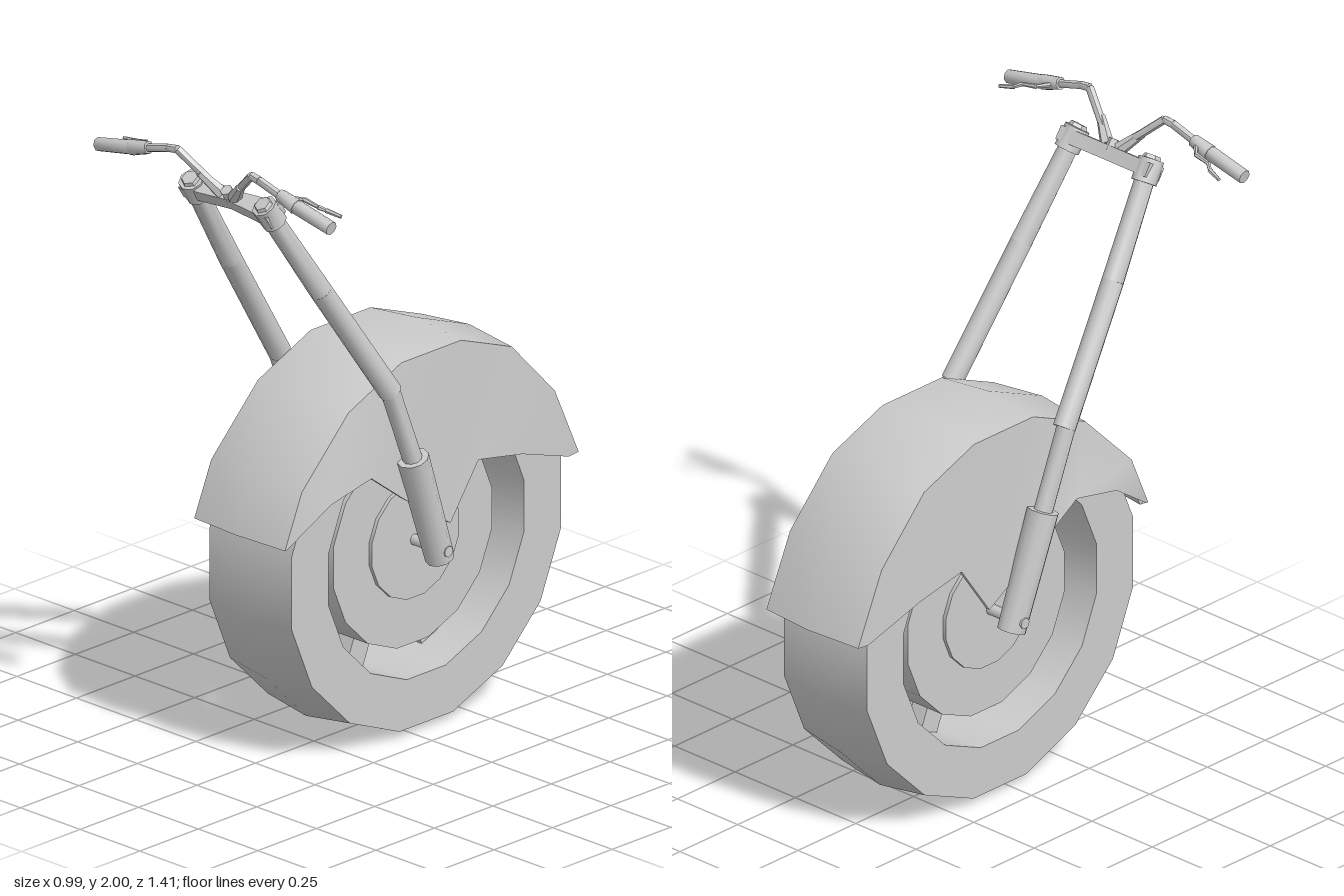
import * as THREE from 'three';
import { toCreasedNormals } from 'three/addons/utils/BufferGeometryUtils.js';

const V = (x, y, z) => new THREE.Vector3(x, y, z);
const HUB = V(0, 0.6, -0.055);

export function createModel() {
  const model = new THREE.Group();
  const mat = new THREE.MeshStandardMaterial({ color: 0xcccccc, side: THREE.DoubleSide });

  function add(geo, name, parent = model, crease = 0.6) {
    const mesh = new THREE.Mesh(toCreasedNormals(geo, crease), mat);
    mesh.name = name;
    parent.add(mesh);
    return mesh;
  }

  // Straight round bar from a to b
  function rod(a, b, ra, rb, sides, name, parent) {
    const dir = b.clone().sub(a);
    const mesh = add(new THREE.CylinderGeometry(rb, ra, dir.length(), sides), name, parent, 0.9);
    mesh.position.copy(a).add(b).multiplyScalar(0.5);
    mesh.quaternion.setFromUnitVectors(V(0, 1, 0), dir.normalize());
    return mesh;
  }

  // Wheel: everything turns about the x axis, flat of the 16-gon at the bottom
  const wheel = new THREE.Group();
  wheel.name = 'wheel';
  wheel.position.copy(HUB);
  model.add(wheel);
  function turned(profile, name) {
    const geo = new THREE.LatheGeometry(profile.map(p => new THREE.Vector2(...p)), 16, Math.PI / 16);
    geo.rotateZ(-Math.PI / 2);
    return add(geo, name, wheel);
  }
  turned([[0.426, -0.172], [0.588, -0.172], [0.612, 0], [0.588, 0.172], [0.426, 0.172], [0.426, -0.172]], 'tire');
  turned([[0, -0.115], [0.345, -0.115], [0.345, 0.115], [0, 0.115]], 'hubDrum');
  turned([[0, -0.127], [0.19, -0.127], [0.19, 0.127], [0, 0.127]], 'hubCap');
  for (let i = 0; i < 8; i++) {
    const a = (i + 0.5) * Math.PI / 4;
    const spoke = add(new THREE.BoxGeometry(0.06, 0.12, 0.075), 'spoke', wheel);
    spoke.position.set(0, 0.38 * Math.cos(a), 0.38 * Math.sin(a));
    spoke.rotation.x = a;
  }
  rod(V(-0.272, 0.6, -0.05), V(0.272, 0.6, -0.05), 0.018, 0.018, 8, 'axle');

  // Fender stations, front to back: crown z, y; lower edge z, y, half width
  const stations = [
    [0.587, 0.76, 0.56, 0.755, 0.19], [0.513, 0.934, 0.4, 0.865, 0.22],
    [0.307, 1.14, 0.228, 0.9, 0.22], [0.074, 1.24, 0.08, 0.79, 0.21],
    [-0.19, 1.24, -0.13, 0.65, 0.2], [-0.413, 1.155, -0.25, 0.82, 0.2],
    [-0.603, 0.955, -0.434, 0.786, 0.202], [-0.708, 0.722, -0.645, 0.715, 0.192],
  ];
  const pos = [], idx = [], N = 10;
  for (const [cz, cy, lz, ly, w] of stations) {
    const crown = V(0, cy, cz);
    const inward = HUB.clone().sub(crown).normalize();
    const shoulder = crown.clone().addScaledVector(inward, 0.02);
    const ring = (t) => {
      const c = crown.clone().addScaledVector(inward, t);
      const s = shoulder.clone().addScaledVector(inward, t);
      const sx = 0.19 - t * 0.6, lx = w - t * 0.6;
      return [[-lx, ly, lz], [-sx, s.y, s.z], [0, c.y, c.z], [sx, s.y, s.z], [lx, ly, lz]];
    };
    pos.push(...ring(0).flat(), ...ring(0.022).reverse().flat());
  }
  for (let i = 0; i < stations.length - 1; i++) {
    for (let j = 0; j < N; j++) {
      const a = i * N + j, b = i * N + (j + 1) % N;
      idx.push(a, a + N, b, b, a + N, b + N);
    }
  }
  // Close the rims at both ends
  for (let j = 0; j < 4; j++) {
    const e = (stations.length - 1) * N;
    idx.push(j, j + 1, 9 - j, j + 1, 8 - j, 9 - j);
    idx.push(e + j, e + 9 - j, e + j + 1, e + j + 1, e + 9 - j, e + 8 - j);
  }
  const fender = new THREE.BufferGeometry();
  fender.setAttribute('position', new THREE.Float32BufferAttribute(pos, 3));
  fender.setIndex(idx);
  add(fender, 'fender', model, 0.75);

  // Fork legs, handlebar halves and controls, mirrored
  for (const s of [1, -1]) {
    const P = (x, y, z) => V(s * x, y, z);
    const side = new THREE.Group();
    side.name = s > 0 ? 'leftSide' : 'rightSide';
    model.add(side);
    rod(P(0.232, 1.165, 0.16), P(0.19, 1.55, 0.414), 0.036, 0.035, 10, 'upperForkTube', side);
    rod(P(0.19, 1.55, 0.414), P(0.155, 1.84, 0.6), 0.035, 0.031, 10, 'upperForkTube', side);
    rod(P(0.234, 0.88, 0.05), P(0.236, 1.18, 0.169), 0.03, 0.03, 10, 'middleForkTube', side);
    rod(P(0.224, 0.565, -0.06), P(0.234, 0.925, 0.066), 0.045, 0.05, 10, 'lowerForkLeg', side);
    rod(P(0.16, 1.81, 0.58), P(0.153, 1.872, 0.62), 0.04, 0.04, 8, 'clampCollar', side);
    rod(P(0.153, 1.872, 0.62), P(0.152, 1.882, 0.627), 0.03, 0.026, 6, 'forkCap', side);
    rod(P(0.025, 1.862, 0.615), P(0.085, 1.922, 0.65), 0.022, 0.014, 6, 'riser', side);

    const bar = [P(0.06, 1.9, 0.635), P(0.155, 1.985, 0.675), P(0.19, 1.98, 0.677), P(0.34, 1.938, 0.675)];
    for (let i = 0; i < 3; i++) rod(bar[i], bar[i + 1], 0.013, 0.013, 8, 'handlebar', side);
    rod(P(0.275, 1.957, 0.675), P(0.345, 1.938, 0.675), 0.02, 0.025, 8, 'leverClamp', side);
    rod(P(0.345, 1.938, 0.675), P(0.488, 1.908, 0.673), 0.023, 0.022, 8, 'grip', side);
    const lever = [P(0.3, 1.95, 0.66), P(0.33, 1.945, 0.628), P(0.385, 1.935, 0.625),
      P(0.405, 1.925, 0.61), P(0.455, 1.915, 0.597)];
    for (let i = 0; i < 4; i++) rod(lever[i], lever[i + 1], 0.008, 0.006, 6, 'lever', side);
  }

  // Clamp joining the fork tops, waisted in the middle and tilted with the fork
  const plan = new THREE.Shape([[-0.185, -0.036], [0, -0.02], [0.185, -0.036], [0.185, 0.036], [0, 0.02], [-0.185, 0.036]]
    .map(p => new THREE.Vector2(...p)));
  const clampGeo = new THREE.ExtrudeGeometry(plan, { depth: 0.045, bevelEnabled: false });
  clampGeo.translate(0, 0, -0.0225).rotateX(-Math.PI / 2 + 0.57);
  add(clampGeo, 'forkClamp').position.set(0, 1.845, 0.6);
  rod(V(0, 1.85, 0.603), V(0, 1.883, 0.625), 0.022, 0.02, 6, 'stemNut');

  return model;
}
